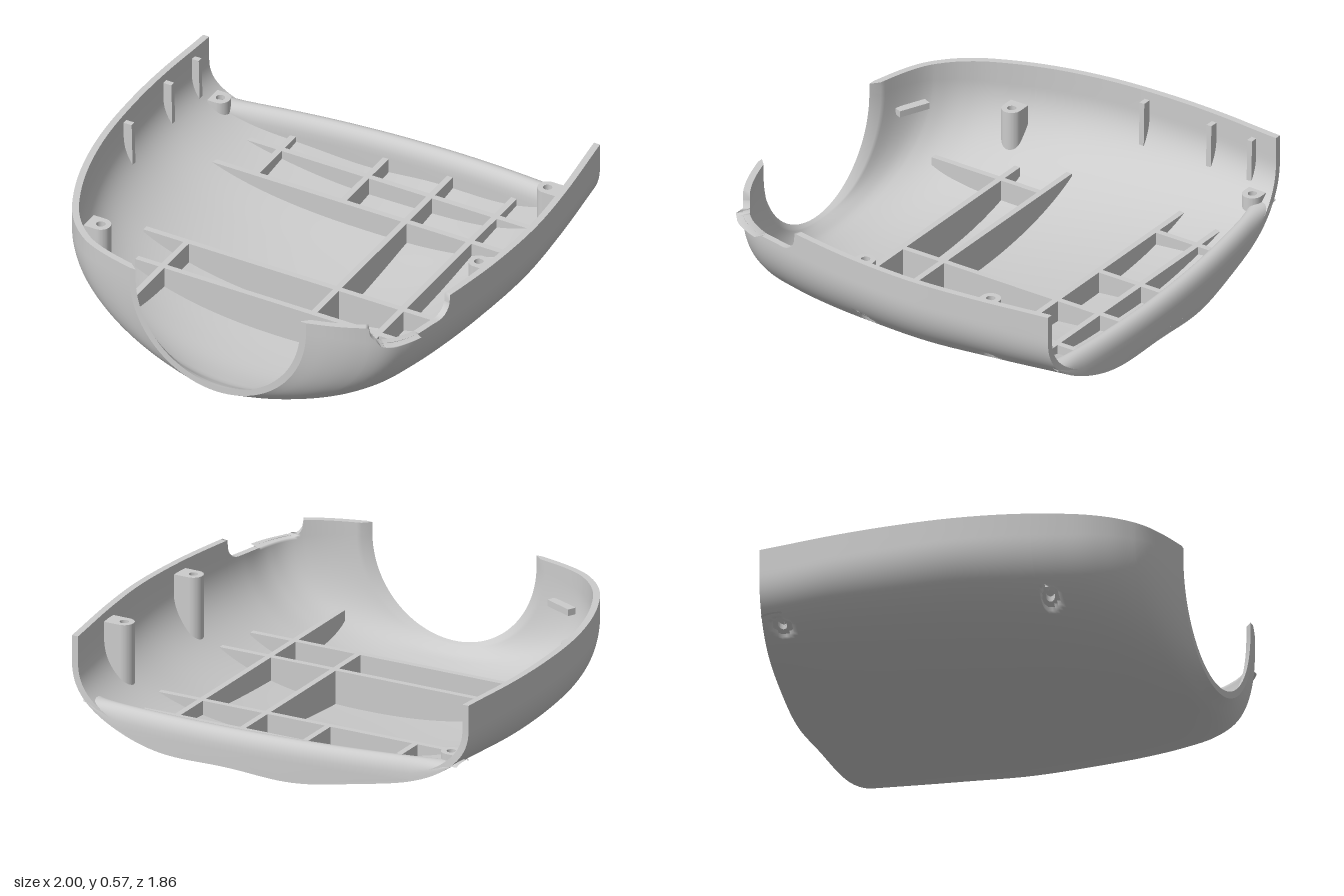
import * as THREE from 'three';
import { mergeGeometries } from 'three/addons/utils/BufferGeometryUtils.js';

const mat = new THREE.MeshStandardMaterial({ color: 0xcccccc, side: THREE.DoubleSide });
const WALL = 0.03, RIM = 0.57;

// Cross-sections from front to back: z, left x, right x, bottom y, wall foot y, roundness
const stations = [
  [0.93, -0.37, 0.50, 0.07, 0.52, 2.0],
  [0.90, -0.49, 0.60, 0.055, 0.51, 2.0],
  [0.86, -0.60, 0.70, 0.035, 0.50, 2.0],
  [0.80, -0.69, 0.80, 0.02, 0.49, 2.05],
  [0.70, -0.78, 0.87, 0.005, 0.48, 2.1],
  [0.55, -0.86, 0.91, 0.0, 0.47, 2.15],
  [0.35, -0.93, 0.95, 0.005, 0.47, 2.2],
  [0.10, -0.98, 0.985, 0.015, 0.47, 2.2],
  [-0.20, -1.0, 1.0, 0.04, 0.47, 2.3],
  [-0.50, -0.995, 0.98, 0.075, 0.47, 2.4],
  [-0.89, -0.97, 0.93, 0.115, 0.47, 2.6],
];
const spline = new THREE.CubicInterpolant(
  stations.map(s => -s[0]), stations.flatMap(s => s.slice(1)), 5, new Float32Array(5));

function section(z) {
  const [xl, xr, yb, yc, n] = spline.evaluate(-z);
  const cx = 0.06;
  return { cx, wl: cx - xl, wr: xr - cx, yb, yc, n };
}
const backZ = x => -0.93 + 0.1 * (x - 0.25) ** 2;
const nearBack = z => THREE.MathUtils.smoothstep(-z, 0.3, 0.89);
const wave = (x, z) => 0.01 * Math.sin(9 * x) * nearBack(z) ** 3 * Math.max(0, 1 - x * x);

// Height of the outer skin below a point of the plan
function floorY(x, z) {
  const s = section(z);
  const r = Math.min(1, Math.abs(x - s.cx) / (x < s.cx ? s.wl : s.wr));
  return s.yc - (s.yc - s.yb) * (1 - r ** s.n) ** (1 / s.n) + wave(x, z);
}

// Rim of the right wall with its rounded notch
function rightRim(z) {
  const d = Math.min(0.83 - z, z - 0.44), r = 0.07;
  if (d < 0) return RIM;
  return 0.475 + (d < r ? r - Math.sqrt(r * r - (r - d) ** 2) : 0);
}

// Smooth surface through rows of points
function surface(rows) {
  const m = rows[0].length, index = [];
  for (let i = 0; i < rows.length - 1; i++)
    for (let j = 0; j < m - 1; j++) {
      const a = i * m + j, b = a + m;
      index.push(a, b, a + 1, b, b + 1, a + 1);
    }
  const g = new THREE.BufferGeometry().setFromPoints(rows.flat());
  g.setIndex(index);
  g.computeVertexNormals();
  return g;
}

// Screw posts: x, z, top, reach towards the wall
const posts = [
  [0.865, -0.54, 0.53, 0.08],
  [0.885, 0.10, 0.53, 0.07],
  [-0.85, -0.72, 0.32, 0.04],
  [-0.765, 0.48, 0.40, 0.06],
];

function shellGeometry() {
  const zs = [];
  for (let i = 0; i <= 110; i++) zs.push(0.93 - 1.82 * (i / 110) ** 1.3);
  for (const z of [0.832, 0.829, 0.824, 0.442, 0.438, 0.446]) zs.push(z);
  zs.sort((a, b) => b - a);
  const N = 130;
  const outer = zs.map(z => {
    const s = section(z), row = [];
    const put = (x, y) => row.push(
      new THREE.Vector3(x, y, z + (backZ(x) + 0.89) * nearBack(z)));
    put(s.cx - s.wl, RIM);
    put(s.cx - s.wl, (RIM + s.yc) / 2);
    for (let j = 0; j <= N; j++) {
      const a = Math.PI * (1 - j / N), c = Math.cos(a), e = 2 / s.n;
      const x = s.cx + (c < 0 ? -s.wl : s.wr) * Math.abs(c) ** e;
      put(x, s.yc - (s.yc - s.yb) * Math.abs(Math.sin(a)) ** e + wave(x, z));
    }
    const rim = Math.max(rightRim(z), s.yc - 0.03);
    put(s.cx + s.wr, (rim + s.yc) / 2);
    put(s.cx + s.wr, rim);
    return row;
  });
  // Inner skin, offset along the normals
  const nrm = surface(outer).attributes.normal, m = outer[0].length, last = outer.length - 1;
  const inner = outer.map((row, i) => row.map((p, j) => {
    const n = new THREE.Vector3().fromBufferAttribute(nrm, i * m + j);
    if (i === 0 || i === last) n.setZ(0);
    if (j < 2 || j > m - 3) n.setY(0);
    return p.clone().addScaledVector(n.normalize(), -WALL);
  }));
  // Screw recesses pushed up into the posts
  for (const p of outer.flat())
    for (const [x, z, top] of posts)
      if (Math.hypot(p.x - x, p.z - z) < 0.036) p.y = Math.min(p.y + 0.07, top - 0.02);
  const column = (rows, j) => rows.map(r => r[j]);
  return mergeGeometries([
    surface(outer),
    surface([...inner].reverse()),
    surface([inner[0], outer[0]]),
    surface([outer[last], inner[last]]),
    surface([column(outer, 0), column(inner, 0)]),
    surface([column(inner, m - 1), column(outer, m - 1)]),
  ]);
}

// Round-topped bar along the back edge
function backBarGeometry() {
  const rows = [];
  for (let i = 0; i <= 60; i++) {
    const x = -0.92 + 1.79 * i / 60, z = backZ(x), row = [];
    const foot = Math.min(floorY(x, -0.89) + 0.01, 0.28);
    const spring = Math.max(0.2, foot);
    row.push(new THREE.Vector3(x, foot, z));
    for (let k = 0; k <= 14; k++) {
      const a = Math.PI * k / 14;
      row.push(new THREE.Vector3(x, spring + (0.29 - spring) * Math.sin(a) ** 0.8,
        z + 0.05 - 0.05 * Math.cos(a)));
    }
    row.push(new THREE.Vector3(x, foot, z + 0.1));
    rows.push(row);
  }
  return surface(rows.reverse());
}

// Straight floor rib whose foot follows the floor
function ribGeometry(x0, z0, x1, z1) {
  const alongX = z0 === z1, t = 0.028;
  const g = alongX ? new THREE.BoxGeometry(x1 - x0, 1, t, 40, 1, 1)
    : new THREE.BoxGeometry(t, 1, z1 - z0, 1, 1, 40);
  g.translate((x0 + x1) / 2, 0, (z0 + z1) / 2);
  const p = g.attributes.position;
  for (let i = 0; i < p.count; i++) {
    const foot = floorY(p.getX(i), p.getZ(i)) + 0.012;
    p.setY(i, p.getY(i) > 0 ? Math.max(0.2, foot) : foot);
  }
  g.computeVertexNormals();
  return g;
}

// Post with a screw hole, running into the wall
function postGeometry([x, z, top, reach]) {
  const r = 0.045, side = Math.sign(x), start = side * Math.PI / 2;
  const s = new THREE.Shape();
  s.absarc(x, -z, r, start, start + Math.PI);
  s.lineTo(x + side * reach, -z - side * r);
  s.lineTo(x + side * reach, -z + side * r);
  s.closePath();
  s.holes.push(new THREE.Path().absarc(x, -z, 0.02, 0, Math.PI * 2, true));
  const g = new THREE.ExtrudeGeometry(s, { depth: 1, bevelEnabled: false, curveSegments: 14 });
  g.rotateX(-Math.PI / 2);
  const p = g.attributes.position;
  for (let i = 0; i < p.count; i++)
    p.setY(i, p.getY(i) > 0.5 ? top : Math.min(top, floorY(p.getX(i), p.getZ(i)) + 0.015));
  g.computeVertexNormals();
  return g;
}

// Thin upright fin on the left wall
function finGeometry(z) {
  const s = section(z), x = s.cx - s.wl + 0.015;
  const shape = new THREE.Shape([[0, 0.53], [0, 0.45], [0.02, 0.39], [0.06, 0.31], [0.055, 0.53]]
    .map(([dx, y]) => new THREE.Vector2(x + dx, y)));
  return new THREE.ExtrudeGeometry(shape, { depth: 0.025, bevelEnabled: false })
    .translate(0, 0, z - 0.012);
}

export function createModel() {
  const model = new THREE.Group();
  const add = (name, g) => {
    const mesh = new THREE.Mesh(g, mat);
    mesh.name = name;
    model.add(mesh);
    return mesh;
  };
  add('shell', shellGeometry());
  add('backBar', backBarGeometry());

  // Ribs across and along the floor
  for (const [z, a, b] of [[-0.66, -0.79, 0.8], [-0.44, -0.85, 0.84], [0.155, -0.73, 0.78], [0.37, -0.65, 0.75]])
    add('crossRib', ribGeometry(a, z, b, z));
  for (const [x, a, b] of [[-0.52, -0.8, -0.44], [-0.52, 0.155, 0.72], [-0.09, -0.84, -0.44],
    [0.22, -0.85, 0.37], [0.54, -0.84, 0.79]])
    add('longRib', ribGeometry(x, a, x, b));

  for (const p of posts) add('screwPost', postGeometry(p));
  for (const z of [-0.66, -0.44, -0.09]) add('wallFin', finGeometry(z));

  // Small catch inside the front wall
  const tab = add('frontCatch', new THREE.BoxGeometry(0.15, 0.03, 0.04));
  tab.position.set(-0.52, 0.4, 0.83);
  tab.rotation.y = -0.42;
  return model;
}
